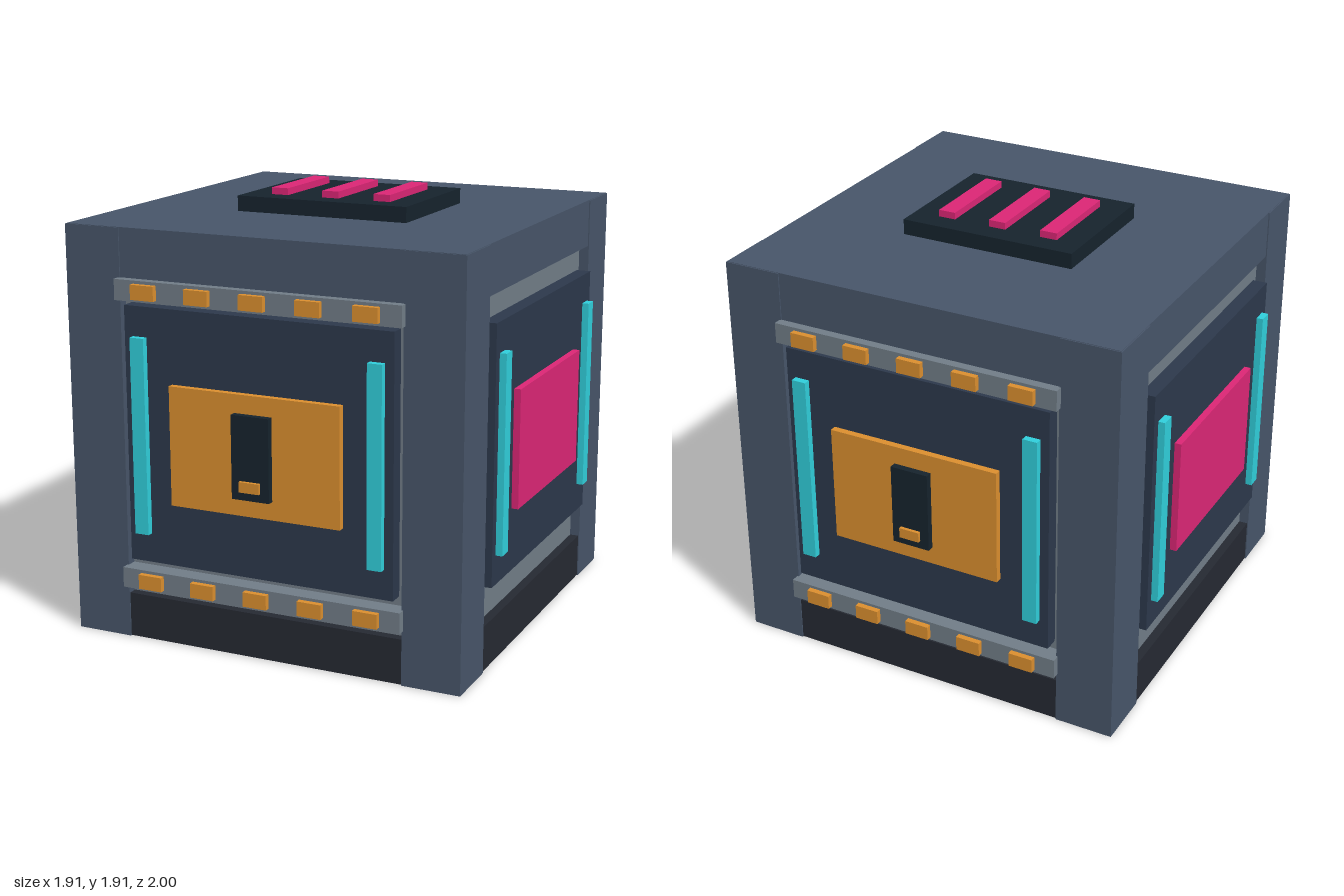
import * as THREE from 'three';

const mat = (color) => new THREE.MeshStandardMaterial({ color });
const frameMat = mat(0x475569), coreMat = mat(0x717d87), baseMat = mat(0x252932);
const panelMat = mat(0x2c384b), darkMat = mat(0x16232d);
const orange = mat(0xdb8f2f), cyan = mat(0x30cfdb), pink = mat(0xdb2675);

// Box given by its min and max along each axis
function box(parent, name, material, [x0, x1], [y0, y1], [z0, z1]) {
  const mesh = new THREE.Mesh(new THREE.BoxGeometry(x1 - x0, y1 - y0, z1 - z0), material);
  mesh.position.set((x0 + x1) / 2, (y0 + y1) / 2, (z0 + z1) / 2);
  mesh.name = name;
  parent.add(mesh);
  return mesh;
}

// Recessed panel with light strips and a centre plate, facing +z
function makeSide(name, plateMat) {
  const side = new THREE.Group();
  side.name = name;
  box(side, 'panel', panelMat, [-0.615, 0.615], [0.37, 1.49], [0.84, 0.925]);
  for (const s of [-1, 1]) {
    const x = s * 0.5425;
    box(side, 'lightStrip', cyan, [x - 0.0325, x + 0.0325], [0.5, 1.36], [0.91, 0.955]);
  }
  box(side, 'centrePlate', plateMat, [-0.392, 0.392], [0.65, 1.17], [0.91, 0.955]);
  return side;
}

// Rails with studs and a latch, added to the front and back
function addHardware(side) {
  for (const y of [0.285, 1.555]) {
    box(side, 'rail', coreMat, [-0.652, 0.652], [y - 0.045, y + 0.045], [0.85, 0.94]);
    for (let i = -2; i <= 2; i++) {
      const x = i * 0.2525;
      box(side, 'stud', orange, [x - 0.055, x + 0.055], [y - 0.032, y + 0.032], [0.92, 0.965]);
    }
  }
  box(side, 'latch', darkMat, [-0.086, 0.086], [0.73, 1.09], [0.94, 0.985]);
  box(side, 'latchButton', orange, [-0.046, 0.046], [0.767, 0.812], [0.97, 1.0]);
}

export function createModel() {
  const model = new THREE.Group();
  model.name = 'crate';

  // Body
  box(model, 'base', baseMat, [-0.9, 0.9], [0.002, 0.2], [-0.9, 0.9]);
  box(model, 'core', coreMat, [-0.86, 0.86], [0.19, 1.61], [-0.86, 0.86]);
  box(model, 'roof', frameMat, [-0.9, 0.9], [1.6, 1.812], [-0.9, 0.9]);

  // Corner posts
  for (const sx of [-1, 1]) for (const sz of [-1, 1]) {
    const x = sx * 0.775, z = sz * 0.775;
    box(model, 'cornerPost', frameMat, [x - 0.13, x + 0.13], [0, 1.81], [z - 0.13, z + 0.13]);
  }

  // Four sides, alternating between latched and plain
  ['front', 'left', 'back', 'right'].forEach((name, i) => {
    const latched = i % 2 === 0;
    const side = makeSide(name + 'Side', latched ? orange : pink);
    if (latched) addHardware(side);
    side.rotation.y = i * Math.PI / 2;
    model.add(side);
  });

  // Top plate with three bars
  box(model, 'topPlate', darkMat, [-0.4, 0.4], [1.8, 1.88], [-0.31, 0.31]);
  for (const x of [-0.243, 0, 0.243]) {
    box(model, 'topBar', pink, [x - 0.039, x + 0.039], [1.87, 1.91], [-0.21, 0.21]);
  }

  return model;
}
